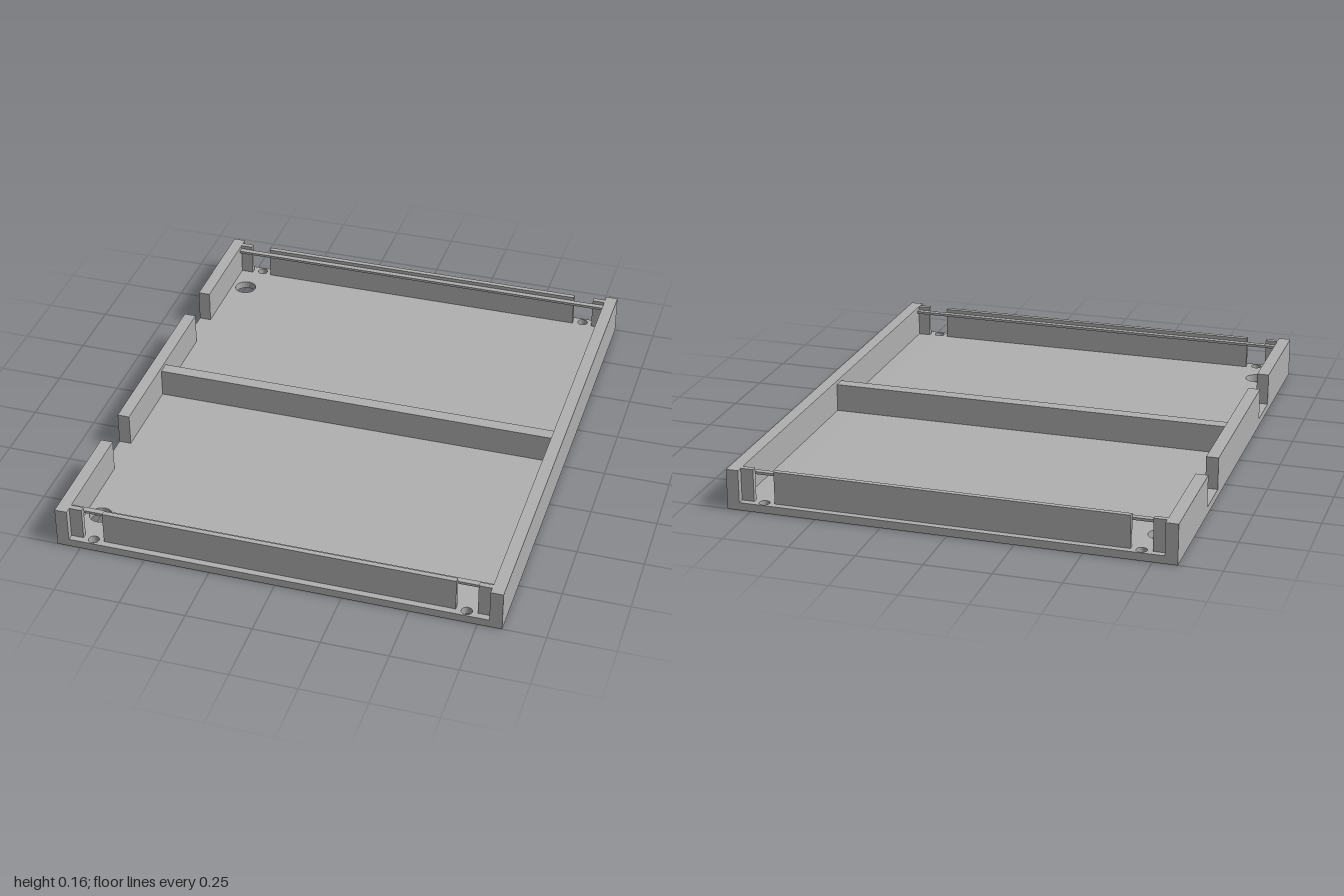
import * as THREE from 'three';

export function createModel() {
  const model = new THREE.Group();
  const grey = new THREE.MeshStandardMaterial({ color: 0xb0b0b0 });
  grey.name = 'grey';

  const FLOOR = 0.03, TOP = 0.155, INNER = 0.793, OUTER = 0.84;

  // box given by its limits on each axis
  function block(name, x0, x1, y0, y1, z0, z1) {
    const mesh = new THREE.Mesh(new THREE.BoxGeometry(x1 - x0, y1 - y0, z1 - z0), grey);
    mesh.position.set((x0 + x1) / 2, (y0 + y1) / 2, (z0 + z1) / 2);
    mesh.name = name;
    model.add(mesh);
  }

  // floor plate with two cable holes and four screw holes
  const plate = new THREE.Shape();
  plate.moveTo(-OUTER, -1).lineTo(OUTER, -1).lineTo(OUTER, 1).lineTo(-OUTER, 1).closePath();
  const drill = (x, z, r) => plate.holes.push(new THREE.Path().absarc(x, z, r, 0, Math.PI * 2, true));
  for (const s of [-1, 1]) {
    drill(-0.735, s * 0.83, 0.043);
    drill(-0.705, s * 0.974, 0.02);
    drill(0.705, s * 0.974, 0.02);
  }
  const floorGeometry = new THREE.ExtrudeGeometry(plate, { depth: FLOOR, bevelEnabled: false, curveSegments: 16 });
  floorGeometry.rotateX(-Math.PI / 2);
  const floor = new THREE.Mesh(floorGeometry, grey);
  floor.name = 'floor';
  model.add(floor);

  // plain wall on +x, wall with two notches on -x
  block('leftWall', INNER, OUTER, FLOOR, TOP, -1, 1);
  for (const [z0, z1] of [[-1, -0.545], [-0.375, 0.375], [0.545, 1]])
    block('notchedWall', -OUTER, -INNER, FLOOR, TOP, z0, z1);

  // divider across the middle
  block('divider', -INNER, INNER, FLOOR, 0.14, -0.025, 0.025);

  // end panels, corner posts and the thin rail bridging the gaps
  for (const s of [-1, 1]) {
    const end = (name, x0, x1, y0, y1, a, b) =>
      block(name, x0, x1, y0, y1, Math.min(s * a, s * b), Math.max(s * a, s * b));
    end('endPanel', -0.665, 0.665, FLOOR, TOP, 0.955, 0.975);
    end('endRail', -INNER, INNER, 0.13, 0.14, 0.933, 0.955);
    for (const [x0, x1] of [[-INNER, -0.745], [0.745, INNER]])
      end('cornerPost', x0, x1, FLOOR, TOP, 0.955, 0.975);
  }

  return model;
}
